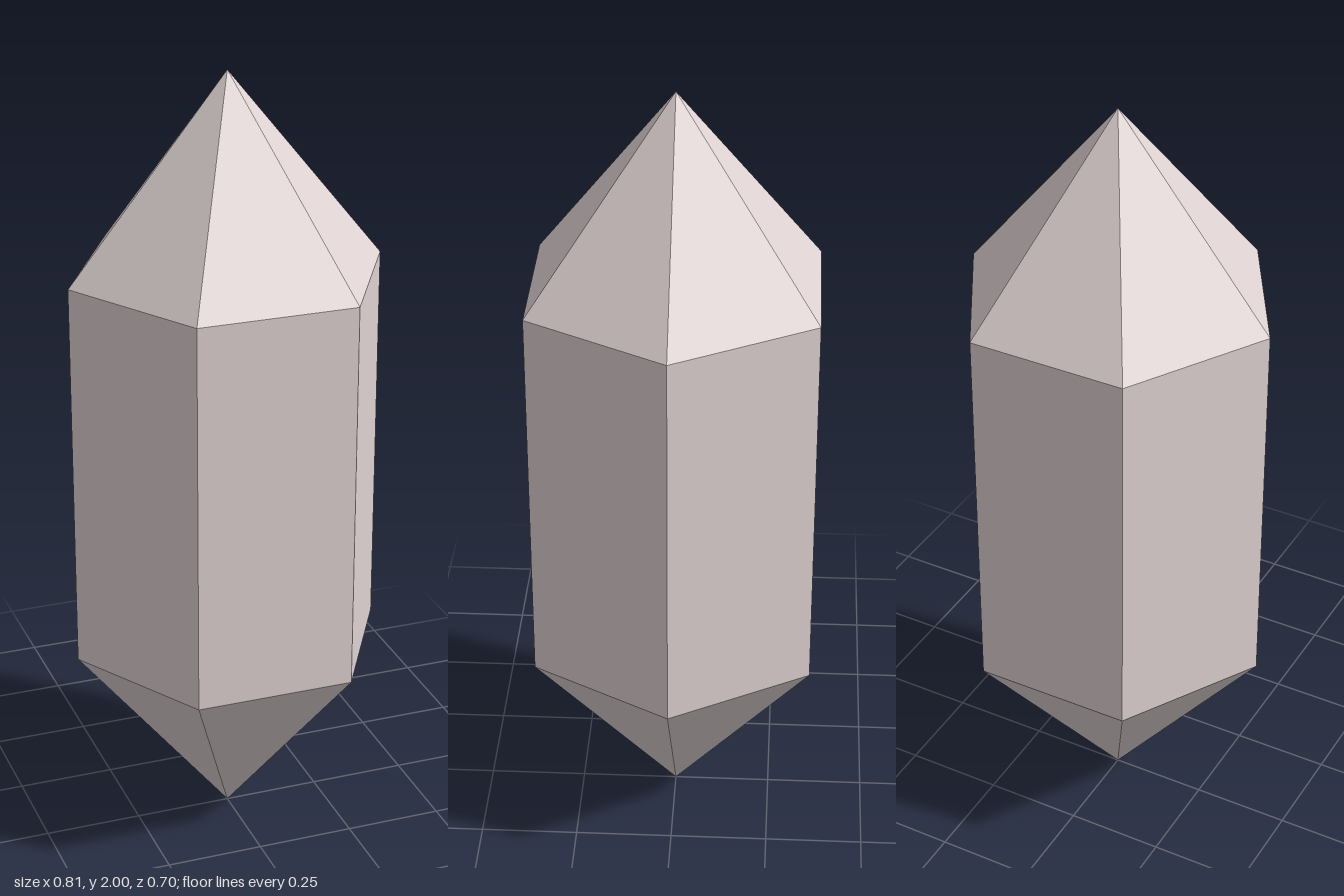
import * as THREE from 'three';

const RADIUS = 0.405;
const SIDES = 6;

export function createModel() {
  const group = new THREE.Group();
  group.name = 'crystal';

  const paleQuartz = new THREE.MeshStandardMaterial({ color: 0xe0d3d3 });
  paleQuartz.name = 'paleQuartz';
  paleQuartz.flatShading = true;

  // Open six-sided section, with corners on the x axis
  const addSection = (name, topRadius, bottomRadius, bottomY, topY) => {
    const height = topY - bottomY;
    const geometry = new THREE.CylinderGeometry(
      topRadius, bottomRadius, height, SIDES, 1, true, Math.PI / 2);
    const mesh = new THREE.Mesh(geometry, paleQuartz);
    mesh.name = name;
    mesh.position.y = bottomY + height / 2;
    group.add(mesh);
  };

  addSection('lowerPoint', RADIUS, 0, 0, 0.5);
  addSection('shaft', RADIUS, RADIUS, 0.5, 1.5);
  addSection('upperPoint', 0, RADIUS, 1.5, 2);

  return group;
}
